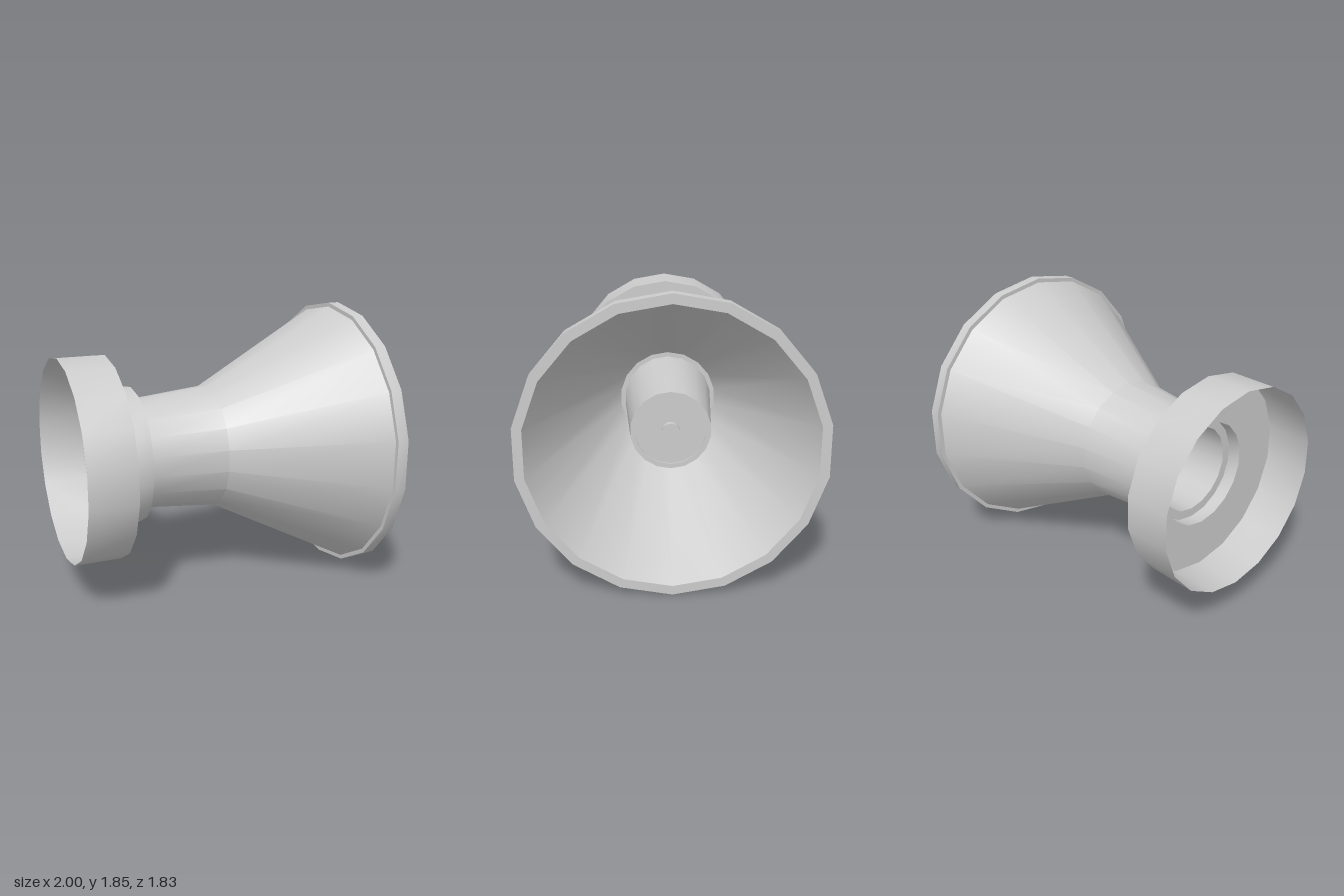
import * as THREE from 'three';
import { toCreasedNormals } from 'three/addons/utils/BufferGeometryUtils.js';

const SIDES = 18;
const AXIS_HEIGHT = 0.93;

export function createModel() {
  const group = new THREE.Group();
  group.name = 'hornSpeaker';
  const material = new THREE.MeshStandardMaterial({ color: 0xcccccc, side: THREE.DoubleSide });

  // Turns a [radius, x] profile around the horizontal axis, a corner pointing up
  function turned(name, profile) {
    const points = profile.map(([r, x]) => new THREE.Vector2(r, x));
    const lathe = new THREE.LatheGeometry(points, SIDES, Math.PI / 2);
    lathe.rotateZ(-Math.PI / 2);
    const mesh = new THREE.Mesh(toCreasedNormals(lathe, 0.5), material);
    mesh.name = name;
    mesh.position.y = AXIS_HEIGHT;
    group.add(mesh);
  }

  // Rear cup: thin shell, open at the back, with a round hole in its front wall
  turned('rearCup', [[0.67, -1], [0.67, -0.69], [0.35, -0.69]]);

  // Collar around the neck
  turned('collar', [[0.355, -0.665], [0.45, -0.665], [0.45, -0.525], [0.355, -0.525]]);

  // Outer skin of the neck and the flaring bell
  turned('hornOuter', [[0.36, -0.69], [0.36, -0.525], [0.41, 0], [0.9, 0.925]]);

  // Rolled rim at the mouth
  turned('mouthRim', [[0.89, 0.925], [0.927, 0.925], [0.927, 1], [0.868, 1]]);

  // Inner skin: bell, throat step, throat tube and rear recess
  turned('hornInner', [
    [0.868, 1], [0.32, 0], [0.29, 0], [0.29, -0.6], [0.35, -0.6], [0.35, -0.69],
  ]);

  // Tapered plug in the throat with a slightly recessed face
  turned('throatPlug', [[0.29, 0], [0.25, 0.64], [0.22, 0.64], [0.22, 0.63], [0, 0.63]]);

  // Small button in the middle of the plug
  turned('plugButton', [[0.055, 0.63], [0.055, 0.665], [0, 0.665]]);

  return group;
}
